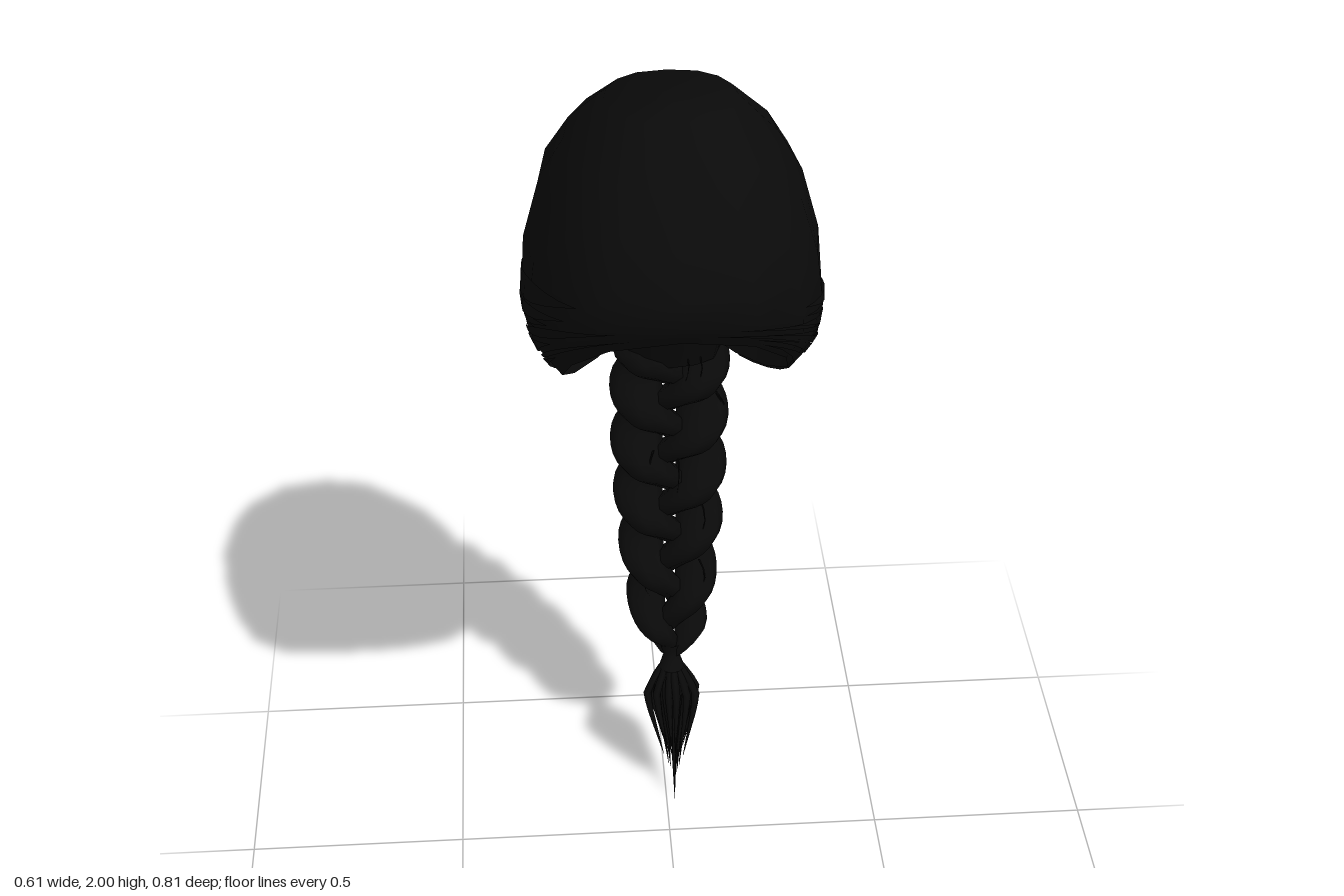
import * as THREE from 'three';

const hair = new THREE.MeshStandardMaterial({ color: 0x0a0a0a, side: THREE.DoubleSide });
hair.name = 'black hair';

// Skin a surface over rows of points, from top to bottom
function loft(name, rows, sides, point, closed = true) {
  const cols = closed ? sides : sides + 1;
  const pos = [], idx = [];
  for (let i = 0; i <= rows; i++)
    for (let j = 0; j < cols; j++) pos.push(...point(i / rows, j / sides));
  for (let i = 0; i < rows; i++)
    for (let j = 0; j < sides; j++) {
      const k = (j + 1) % cols;
      const a = i * cols + j, b = i * cols + k, c = a + cols, d = b + cols;
      idx.push(a, c, b, b, c, d);
    }
  const g = new THREE.BufferGeometry();
  g.setAttribute('position', new THREE.Float32BufferAttribute(pos, 3));
  g.setIndex(idx);
  g.computeVertexNormals();
  const mesh = new THREE.Mesh(g, hair);
  mesh.name = name;
  return mesh;
}

// Lock of hair: centre(t) gives x, y, z and size(t) gives half width and half depth
function lock(name, rows, sides, centre, size) {
  return loft(name, rows, sides, (t, s) => {
    const [x, y, z] = centre(t), [w, d] = size(t), a = s * Math.PI * 2;
    return [x + w * Math.sin(a), y, z + d * Math.cos(a)];
  });
}

// Linear lookup in a list of [key, value] pairs with rising keys
function lookup(table, k) {
  if (k <= table[0][0]) return table[0][1];
  for (let i = 1; i < table.length; i++) {
    const [k0, v0] = table[i - 1], [k1, v1] = table[i];
    if (k <= k1) return v0 + (v1 - v0) * (k - k0) / (k1 - k0);
  }
  return table[table.length - 1][1];
}

function seeded(seed) {
  return () => {
    seed = (seed * 16807) % 2147483647;
    return seed / 2147483647;
  };
}

// Cap rings: front z, front y, back z, back y, half width, sag of the sides, narrowing to the back
const capRings = [
  [0.1, 2.0, 0.1, 2.0, 0, 0, 0],
  [0.18, 1.995, -0.1, 1.97, 0.13, 0, 0],
  [0.29, 1.91, -0.21, 1.89, 0.21, 0, 0],
  [0.36, 1.82, -0.3, 1.8, 0.26, 0, 0],
  [0.41, 1.74, -0.335, 1.63, 0.295, 0, 0],
  [0.405, 1.68, -0.315, 1.5, 0.303, 0.03, 0.05],
  [0.385, 1.65, -0.335, 1.4, 0.28, 0.07, 0.2],
  [0.37, 1.63, -0.31, 1.29, 0.2, 0.11, 0.55],
];

function capPoint(t, s, grow = 1) {
  const f = t * (capRings.length - 1), i = Math.min(Math.floor(f), capRings.length - 2);
  const [fz, fy, bz, by, w, sag, egg] = capRings[i].map((v, k) => v + (capRings[i + 1][k] - v) * (f - i));
  const a = s * Math.PI * 2, u = (1 - Math.cos(a)) / 2, sin = Math.sin(a);
  const x = w * Math.sign(sin) * Math.abs(sin) ** 0.8 * (1 + egg * Math.cos(a));
  const z = fz + (bz - fz) * u, y = fy + (by - fy) * u - sag * sin * sin;
  return [x * grow, 1.65 + (y - 1.65) * grow, 0.04 + (z - 0.04) * grow];
}

// Braid centre line and its narrowing towards the tie and the nape
const braidZ = y => lookup([[0.36, -0.24], [0.5, -0.285], [0.65, -0.315], [0.85, -0.322], [1.05, -0.317], [1.3, -0.285]], y);
const braidScale = y => lookup([[0.36, 0.2], [0.42, 0.65], [0.52, 0.8], [0.7, 0.93], [0.9, 1], [1.2, 1], [1.32, 0.75]], y);

export function createModel() {
  const group = new THREE.Group();
  group.name = 'braidedHair';
  const rnd = seeded(71);

  // Open shell of hair drawn back over the head and in towards the nape
  group.add(loft('hairCap', capRings.length - 1, 16, (t, s) => capPoint(t, s)));

  // Thin locks lying on the cap along the hairline
  const hairline = new THREE.Group();
  hairline.name = 'hairlineLocks';
  for (const side of [1, -1])
    for (let n = 0; n < 14; n++) {
      const from = 0.02 + rnd() * 0.2, length = 0.14 + rnd() * 0.12;
      const level = 0.62 + rnd() * 0.33, width = 0.012 + rnd() * 0.025;
      const lift = 1.003 + rnd() * 0.012;
      hairline.add(loft('hairlineLock', 8, 1, (t, s) => {
        const v = Math.min(1, level + t * 0.05 + (s - 0.5) * 2 * width * Math.sin(Math.PI * t));
        return capPoint(v, side * (from + length * t), lift);
      }, false));
    }
  group.add(hairline);

  // Hair gathered at the nape
  group.add(lock('napeGather', 5, 12,
    t => [0.01 + 0.01 * t, 1.4 - 0.22 * t, -0.23 - 0.07 * t],
    t => [0.155 - 0.045 * t, 0.09 - 0.025 * t]));

  // Three crossing braid strands
  const braid = new THREE.Group();
  braid.name = 'braid';
  for (let n = 0; n < 3; n++)
    braid.add(lock('braidStrand', 54, 8,
      t => {
        const y = 1.32 - 0.96 * t, k = braidScale(y);
        const a = (y / 0.45 + n / 3) * Math.PI * 2;
        return [0.02 + 0.076 * k * Math.sin(a), y, braidZ(y) + 0.036 * k * Math.sin(2 * a)];
      },
      t => {
        const k = braidScale(1.32 - 0.96 * t);
        return [0.06 * k, 0.049 * k];
      }));
  group.add(braid);

  // Loose wisps beside the braid
  const wisps = new THREE.Group();
  wisps.name = 'braidWisps';
  for (let n = 0; n < 22; n++) {
    const top = 0.55 + rnd() * 0.75, drop = 0.07 + rnd() * 0.07, a = rnd() * Math.PI * 2;
    wisps.add(lock('wisp', 4, 3,
      t => {
        const y = top - drop * t, k = braidScale(y) * (0.85 + 0.2 * Math.sin(Math.PI * t));
        return [0.02 + 0.125 * k * Math.sin(a), y, braidZ(y) + 0.07 * k * Math.cos(a)];
      },
      t => [0.003 * (1 - t), 0.003 * (1 - t)]));
  }
  group.add(wisps);

  // Narrow tie under the braid
  group.add(lock('braidTie', 4, 10,
    t => [0.02, 0.39 - 0.06 * t, -0.25 + 0.025 * t],
    t => [0.024 + 0.006 * Math.cos(t * Math.PI * 2), 0.024 + 0.006 * Math.cos(t * Math.PI * 2)]));

  // Loose tuft: locks that flare out and then draw to points
  const tuft = new THREE.Group();
  tuft.name = 'endTuft';
  const flare = [[0, 0.15], [0.15, 0.6], [0.32, 1], [0.5, 0.92], [1, 0.4]];
  for (let n = 0; n < 26; n++) {
    const a = n * 2.4, r = Math.sqrt((n + 0.5) / 26);
    const end = n === 0 ? 0 : 0.03 + 0.08 * r + rnd() * 0.05;
    tuft.add(lock('tuftLock', 9, 4,
      t => {
        const y = 0.35 - (0.35 - end) * t, out = r * lookup(flare, t);
        const z = lookup([[0, -0.11], [0.1, -0.145], [0.22, -0.19], [0.36, -0.235]], y);
        return [0.02 + 0.066 * out * Math.sin(a), y, z + 0.042 * out * Math.cos(a)];
      },
      t => {
        const w = lookup([[0, 0.008], [0.3, 0.01], [0.6, 0.006], [1, 0.0005]], t);
        return [w, w * 0.8];
      }));
  }
  group.add(tuft);

  return group;
}
